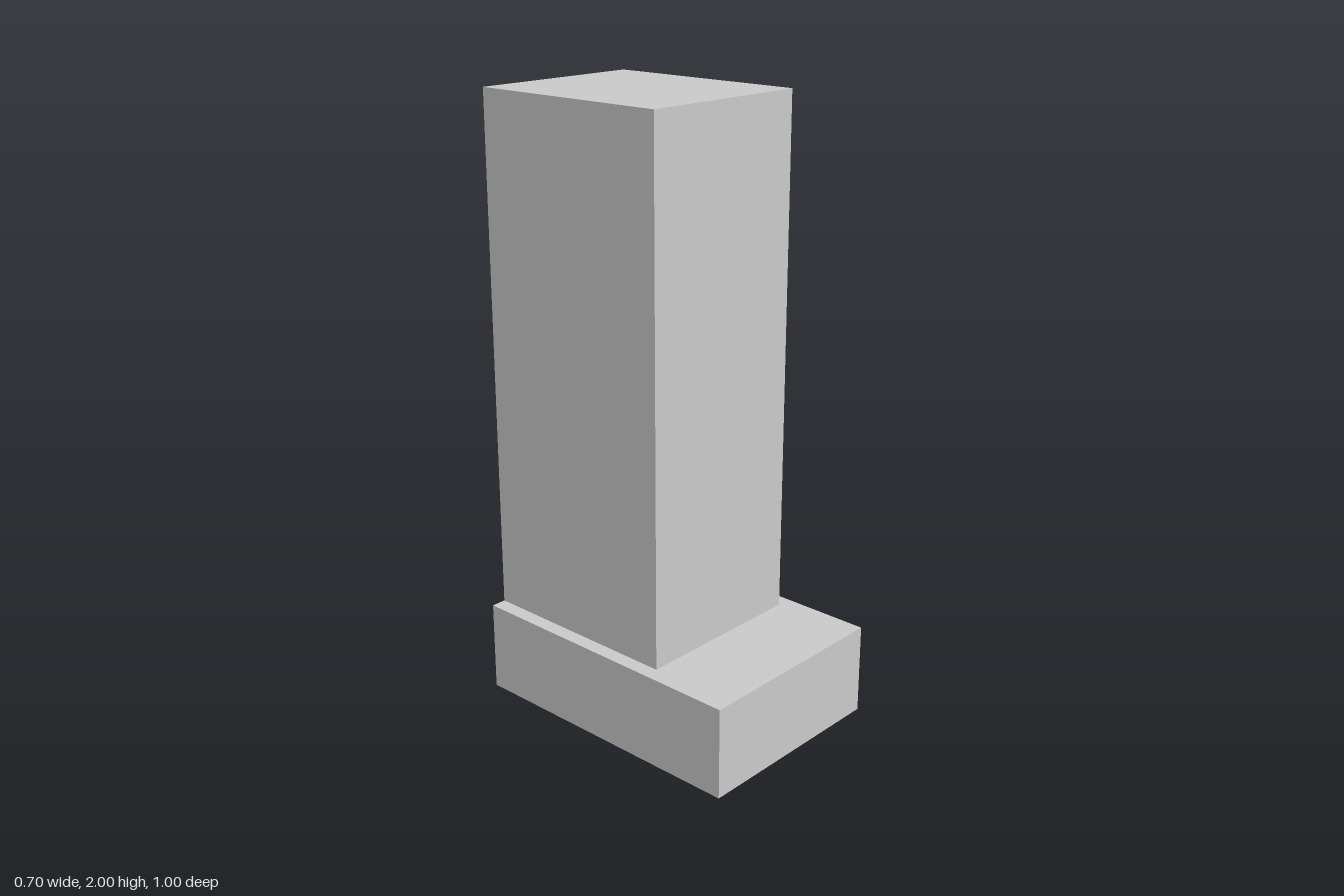
import * as THREE from 'three';

const material = new THREE.MeshStandardMaterial({ color: 0xcccccc });

// Box standing on height y, with its back face at z = -0.5
function block(name, width, height, depth, y) {
  const mesh = new THREE.Mesh(new THREE.BoxGeometry(width, height, depth), material);
  mesh.name = name;
  mesh.position.set(0, y + height / 2, -0.5 + depth / 2);
  return mesh;
}

export function createModel() {
  const group = new THREE.Group();
  group.name = 'pillarOnPlinth';
  const plinthHeight = 0.3;

  // Low plinth that projects at the front and slightly at the sides
  group.add(block('plinth', 0.7, plinthHeight, 1, 0));

  // Tall shaft, flush with the back of the plinth
  group.add(block('shaft', 0.6, 2 - plinthHeight, 0.7, plinthHeight));

  return group;
}
